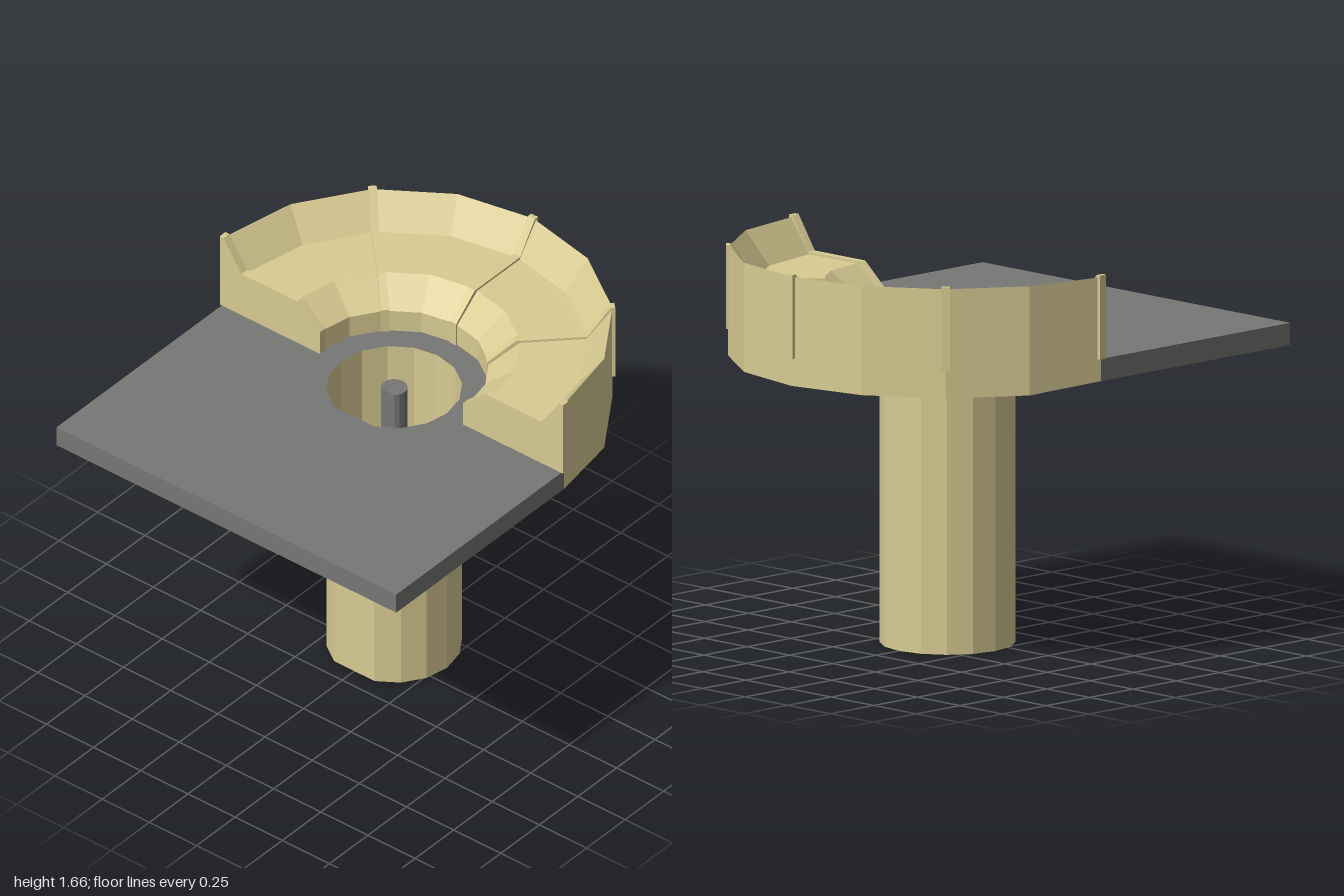
import * as THREE from 'three';

const tan = new THREE.MeshStandardMaterial({ color: 0xd8cb92, flatShading: true, side: THREE.DoubleSide });
const grey = new THREE.MeshStandardMaterial({ color: 0x777775, flatShading: true, side: THREE.DoubleSide });

// Plan points are (x, back), so +y in a plan shape becomes -z in the model.
function arc(radius, fromDeg, toDeg, steps) {
  return Array.from({ length: steps + 1 }, (_, i) => {
    const a = THREE.MathUtils.degToRad(fromDeg + ((toDeg - fromDeg) * i) / steps);
    return new THREE.Vector2(radius * Math.cos(a), radius * Math.sin(a));
  });
}

// Vertical sheet standing along a plan outline
function wall(points, y0, y1, closed) {
  const pos = [];
  const last = closed ? points.length : points.length - 1;
  for (let i = 0; i < last; i++) {
    const a = points[i], b = points[(i + 1) % points.length];
    pos.push(a.x, y0, -a.y, b.x, y0, -b.y, b.x, y1, -b.y);
    pos.push(a.x, y0, -a.y, b.x, y1, -b.y, a.x, y1, -a.y);
  }
  const geo = new THREE.BufferGeometry();
  geo.setAttribute('position', new THREE.Float32BufferAttribute(pos, 3));
  geo.computeVertexNormals();
  return geo;
}

export function createModel() {
  const group = new THREE.Group();
  group.name = 'shaftPlatform';
  const body = new THREE.Group();
  body.name = 'body';
  body.position.z = -0.088; // axis of the shaft
  group.add(body);

  const add = (name, geo, mat, parent = body) => {
    const mesh = new THREE.Mesh(geo, mat);
    mesh.name = name;
    parent.add(mesh);
    return mesh;
  };

  const deckY = 1.31, skirtY = 1.217, front = -1.088, half = 0.9;

  // Deck sheet: rectangle with a rounded collar behind the shaft opening
  const opening = arc(0.28, -67.5, 247.5, 14); // flat facet at the front
  const deck = new THREE.Shape([
    new THREE.Vector2(-half, front), new THREE.Vector2(half, front),
    new THREE.Vector2(half, 0), ...arc(0.39, 0, 180, 8), new THREE.Vector2(-half, 0),
  ]);
  deck.holes.push(new THREE.Path(opening));
  const deckGeo = new THREE.ShapeGeometry(deck).rotateX(-Math.PI / 2).translate(0, deckY, 0);
  add('deck', deckGeo, grey);

  // Skirt hanging from the front and both sides of the deck
  const skirt = [[-half, 0], [-half, front], [half, front], [half, 0]].map(p => new THREE.Vector2(...p));
  add('deckSkirt', wall(skirt, skirtY, deckY, false), grey);

  // Open shaft below the deck
  add('shaft', wall(opening, 0, deckY, true), tan);

  // Slim rod in the middle of the shaft
  const rodShape = new THREE.Shape(arc(0.055, -50, 230, 12));
  const rodGeo = new THREE.ExtrudeGeometry(rodShape, { depth: deckY, bevelEnabled: false });
  add('rod', rodGeo.rotateX(-Math.PI / 2), grey);

  // Half ring: outer wall, sloping rim, flat ledge, inner slope and inner wall
  const profile = [[0.9, 1.195], [0.9, 1.652], [0.795, 1.512], [0.52, 1.512], [0.39, 1.41], [0.39, deckY]]
    .map(p => new THREE.Vector2(...p));
  const ring = new THREE.LatheGeometry(profile, 8, Math.PI / 2, Math.PI);
  const p = ring.attributes.position;
  for (let i = 0; i < p.count; i++) {
    // the lower edge lifts to the skirt at both ends
    if (p.getY(i) < 1.2 && Math.abs(p.getZ(i)) < 0.01) p.setY(i, skirtY);
  }
  ring.computeVertexNormals();
  add('terracedRing', ring, tan);

  // Radial ribs, the outer two closing the ends of the ring
  const ribShape = new THREE.Shape([
    [0.38, deckY], [0.91, deckY], [0.91, 1.662], [0.89, 1.662],
    [0.795, 1.522], [0.5, 1.522], [0.38, 1.42],
  ].map(q => new THREE.Vector2(...q)));
  const ribGeo = new THREE.ExtrudeGeometry(ribShape, { depth: 0.036, bevelEnabled: false }).translate(0, 0, -0.018);
  const ribs = new THREE.Group();
  ribs.name = 'ribs';
  body.add(ribs);
  for (let i = 0; i < 5; i++) {
    add('rib', ribGeo, tan, ribs).rotation.y = (i * Math.PI) / 4;
  }

  return group;
}
